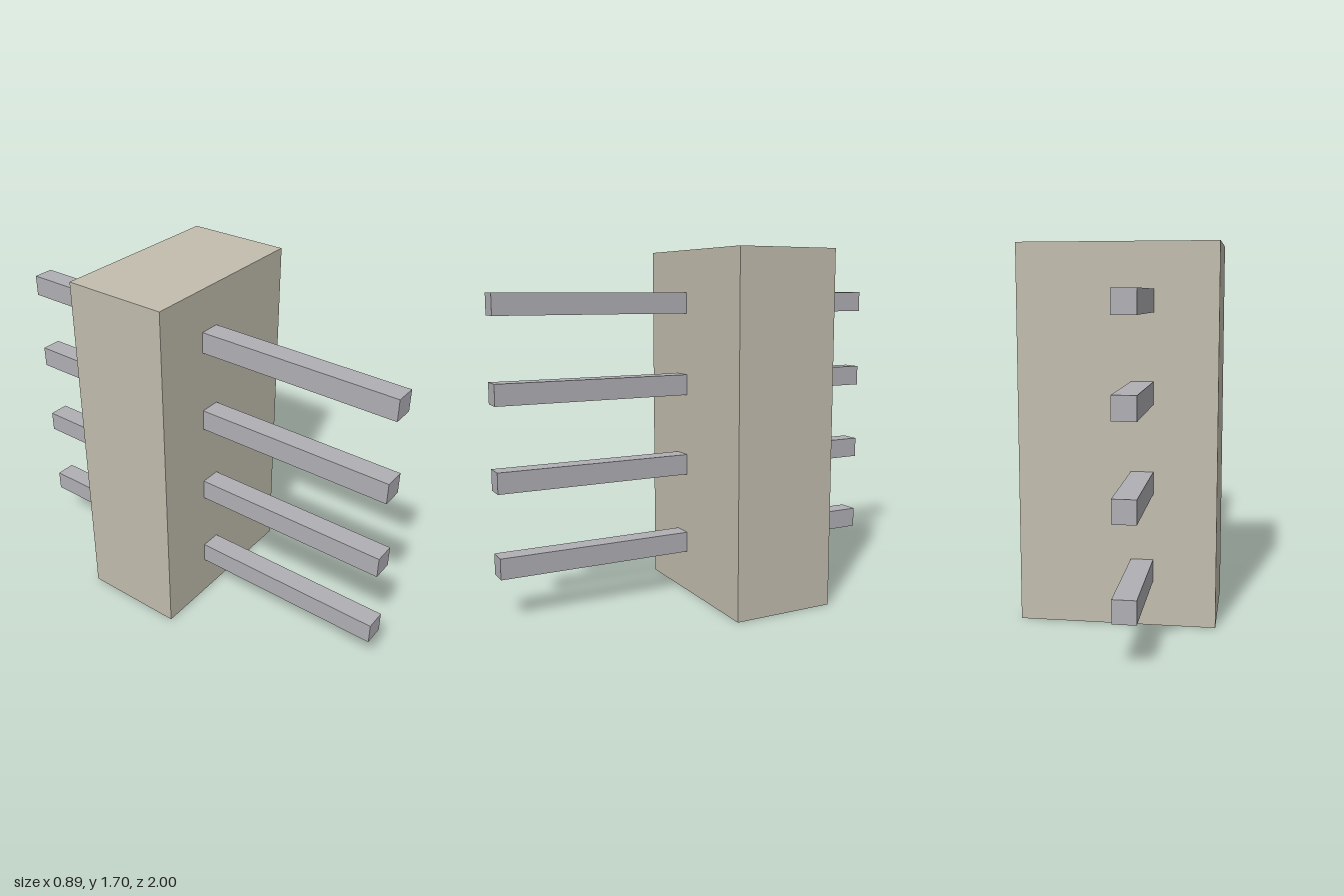
import * as THREE from 'three';

export function createModel() {
  const model = new THREE.Group();
  model.name = 'pinHeader';

  const housingMaterial = new THREE.MeshStandardMaterial({ color: 0xc2bdae });
  housingMaterial.name = 'warm beige';
  const pinMaterial = new THREE.MeshStandardMaterial({ color: 0xb0afb4 });
  pinMaterial.name = 'metal grey';

  // Housing block, set towards the back
  const housing = new THREE.Mesh(new THREE.BoxGeometry(0.886, 1.698, 0.506), housingMaterial);
  housing.name = 'housing';
  housing.position.set(0, 0.849, -0.206);
  model.add(housing);

  // Four square pins running through the housing
  const pinGeometry = new THREE.BoxGeometry(0.1, 0.1, 2);
  for (let i = 0; i < 4; i++) {
    const pin = new THREE.Mesh(pinGeometry, pinMaterial);
    pin.name = `pin${i + 1}`;
    pin.position.set(-0.113, 0.253 + i * 0.398, 0);
    model.add(pin);
  }

  return model;
}
